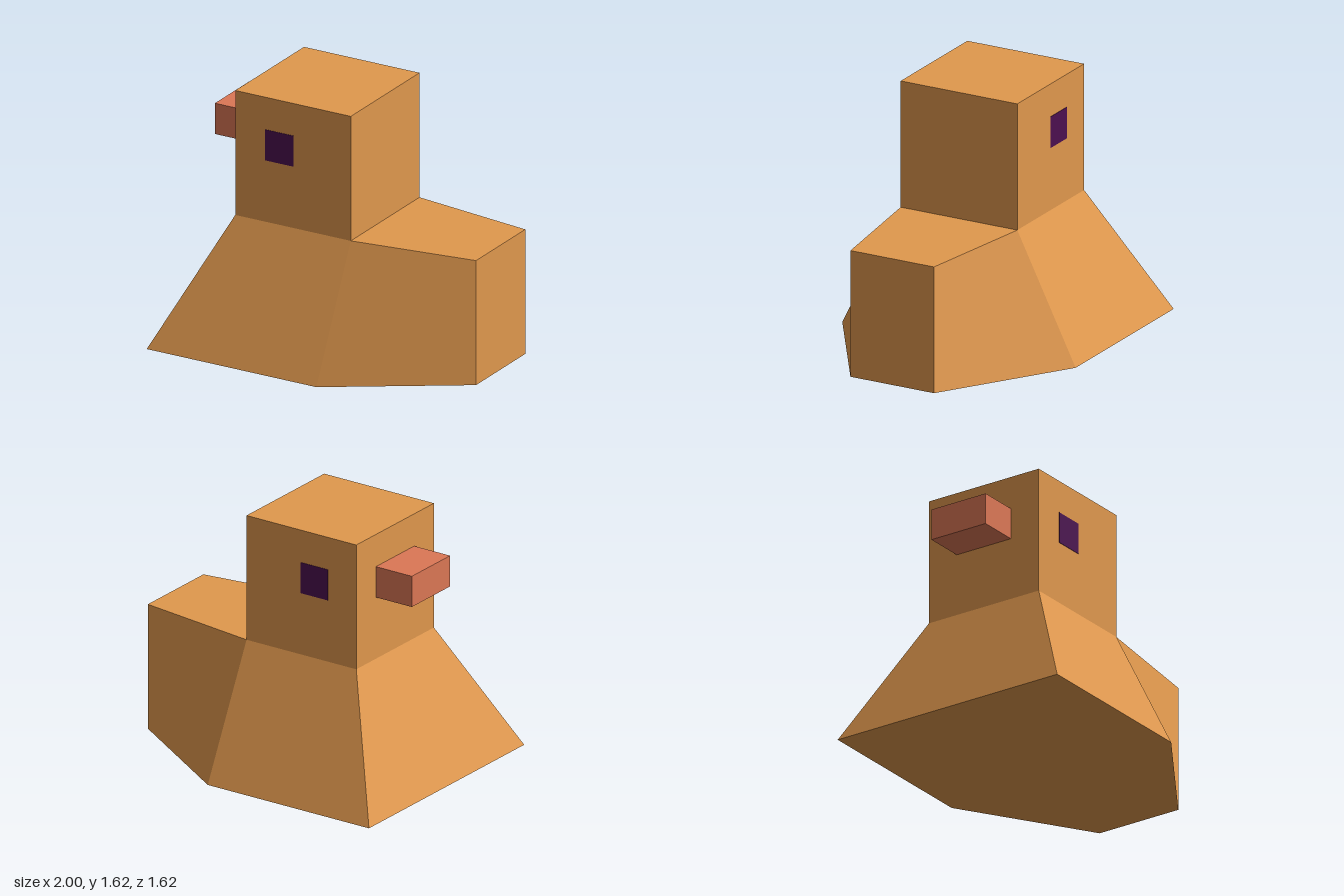
import * as THREE from 'three';

const orange = new THREE.MeshStandardMaterial({ color: 0xe0984d });
orange.name = 'feather orange';
const coral = new THREE.MeshStandardMaterial({ color: 0xdc7755 });
coral.name = 'beak coral';
const purple = new THREE.MeshStandardMaterial({ color: 0x4c1050 });
purple.name = 'eye purple';

// Flat faces from corner loops; each face is fanned from its first corner with one shared normal
function facetGeometry(points, faces) {
  const pos = [], nor = [], index = [];
  for (const face of faces) {
    const p = face.map((i) => new THREE.Vector3(...points[i]));
    const n = new THREE.Vector3();
    for (let i = 1; i < p.length - 1; i++) {
      const a = p[i].clone().sub(p[0]), b = p[i + 1].clone().sub(p[0]);
      n.add(a.cross(b));
    }
    n.normalize();
    const base = pos.length / 3;
    for (const v of p) {
      pos.push(v.x, v.y, v.z);
      nor.push(n.x, n.y, n.z);
    }
    for (let i = 1; i < p.length - 1; i++) index.push(base, base + i, base + i + 1);
  }
  const g = new THREE.BufferGeometry();
  g.setAttribute('position', new THREE.Float32BufferAttribute(pos, 3));
  g.setAttribute('normal', new THREE.Float32BufferAttribute(nor, 3));
  g.setIndex(index);
  return g;
}

// Box given by its minimum and maximum corners
function box(name, min, max, material) {
  const size = max.map((v, i) => v - min[i]);
  const mesh = new THREE.Mesh(new THREE.BoxGeometry(...size), material);
  mesh.position.set(...max.map((v, i) => (v + min[i]) / 2));
  mesh.name = name;
  return mesh;
}

export function createModel() {
  const group = new THREE.Group();
  group.name = 'blockBird';

  // Body: a six-sided base rising to a narrower top, tapering to the tail at +x
  const ring = (y, chest, chestZ, tailZ) => [
    [chest, y, chestZ], [0.19, y, chestZ], [1, y, tailZ],
    [1, y, -tailZ], [0.19, y, -chestZ], [chest, y, -chestZ],
  ];
  const points = [...ring(0, -1, 0.81, 0.29), ...ring(0.81, -0.62, 0.405, 0.29)];
  const body = new THREE.Mesh(facetGeometry(points, [
    [0, 1, 7, 6],          // front flank
    [2, 8, 7, 1],          // front tail flank
    [2, 3, 9, 8],          // tail end
    [4, 10, 9, 3],         // back tail flank
    [4, 5, 11, 10],        // back flank
    [5, 0, 6, 11],         // chest
    [6, 7, 8, 9, 10, 11],  // top
    [5, 4, 3, 2, 1, 0],    // underside
  ]), orange);
  body.name = 'body';
  group.add(body);

  // Head and beak
  group.add(box('head', [-0.62, 0.81, -0.405], [0.19, 1.62, 0.405], orange));
  group.add(box('beak', [-0.885, 1.21, -0.2], [-0.62, 1.41, 0.2], coral));

  // Eyes: thin plates on both sides of the head
  for (const [name, z] of [['eyeFront', 0.405], ['eyeBack', -0.405]]) {
    group.add(box(name, [-0.41, 1.21, z - 0.003], [-0.21, 1.41, z + 0.003], purple));
  }
  return group;
}
